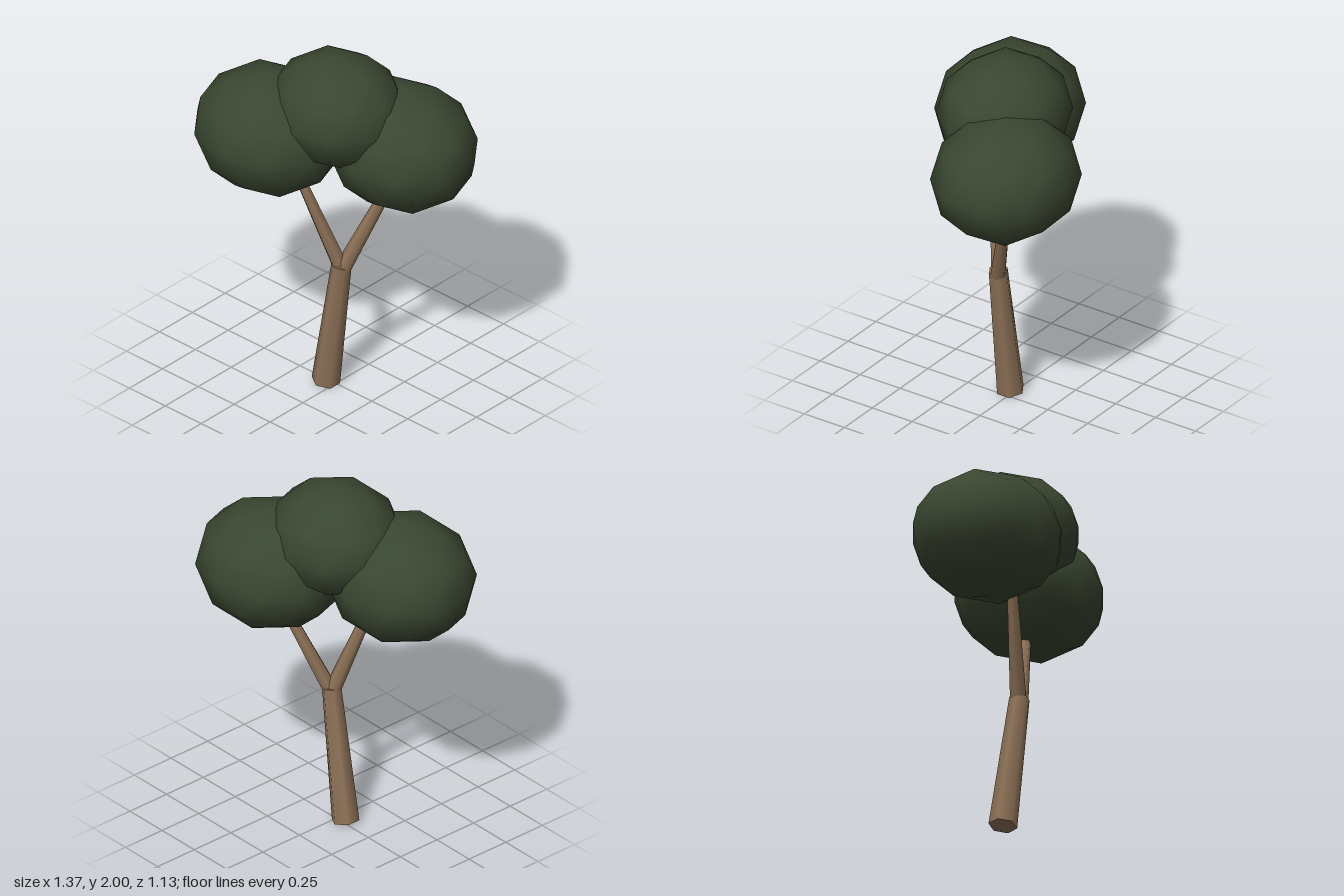
import * as THREE from 'three';

export function createModel() {
  const tree = new THREE.Group();
  tree.name = 'tree';
  const bark = new THREE.MeshStandardMaterial({ color: 0x8f7358 });
  bark.name = 'bark brown';
  const leaf = new THREE.MeshStandardMaterial({ color: 0x3a4731 });
  leaf.name = 'leaf green';

  // Tapered six-sided limb running between two points
  function limb(name, from, to, r0, r1) {
    const a = new THREE.Vector3(...from);
    const dir = new THREE.Vector3(...to).sub(a);
    const mesh = new THREE.Mesh(new THREE.CylinderGeometry(r1, r0, dir.length(), 6), bark);
    mesh.name = name;
    mesh.position.copy(a).addScaledVector(dir, 0.5);
    mesh.quaternion.setFromUnitVectors(new THREE.Vector3(0, 1, 0), dir.normalize());
    tree.add(mesh);
  }
  limb('trunk', [-0.051, 0.011, 0.02], [0.058, 0.763, 0.02], 0.075, 0.053);
  limb('rightBranch', [0.053, 0.74, 0.018], [-0.135, 1.4, 0.192], 0.043, 0.024);
  limb('leftBranch', [0.064, 0.74, 0.018], [0.293, 1.4, -0.205], 0.043, 0.024);

  // Smooth 80-sided ball of leaves, one corner pointing straight up
  function foliage(name, centre, radii) {
    const ball = new THREE.IcosahedronGeometry(1, 1);
    ball.rotateZ(-Math.atan(2 / (1 + Math.sqrt(5))));
    ball.scale(...radii);
    const mesh = new THREE.Mesh(ball, leaf);
    mesh.name = name;
    mesh.position.set(...centre);
    tree.add(mesh);
  }
  foliage('rightFoliage', [-0.29, 1.52, 0.188], [0.415, 0.34, 0.377]);
  foliage('leftFoliage', [0.29, 1.49, -0.19], [0.415, 0.34, 0.377]);
  foliage('topFoliage', [0.015, 1.694, 0.01], [0.373, 0.306, 0.34]);

  return tree;
}
